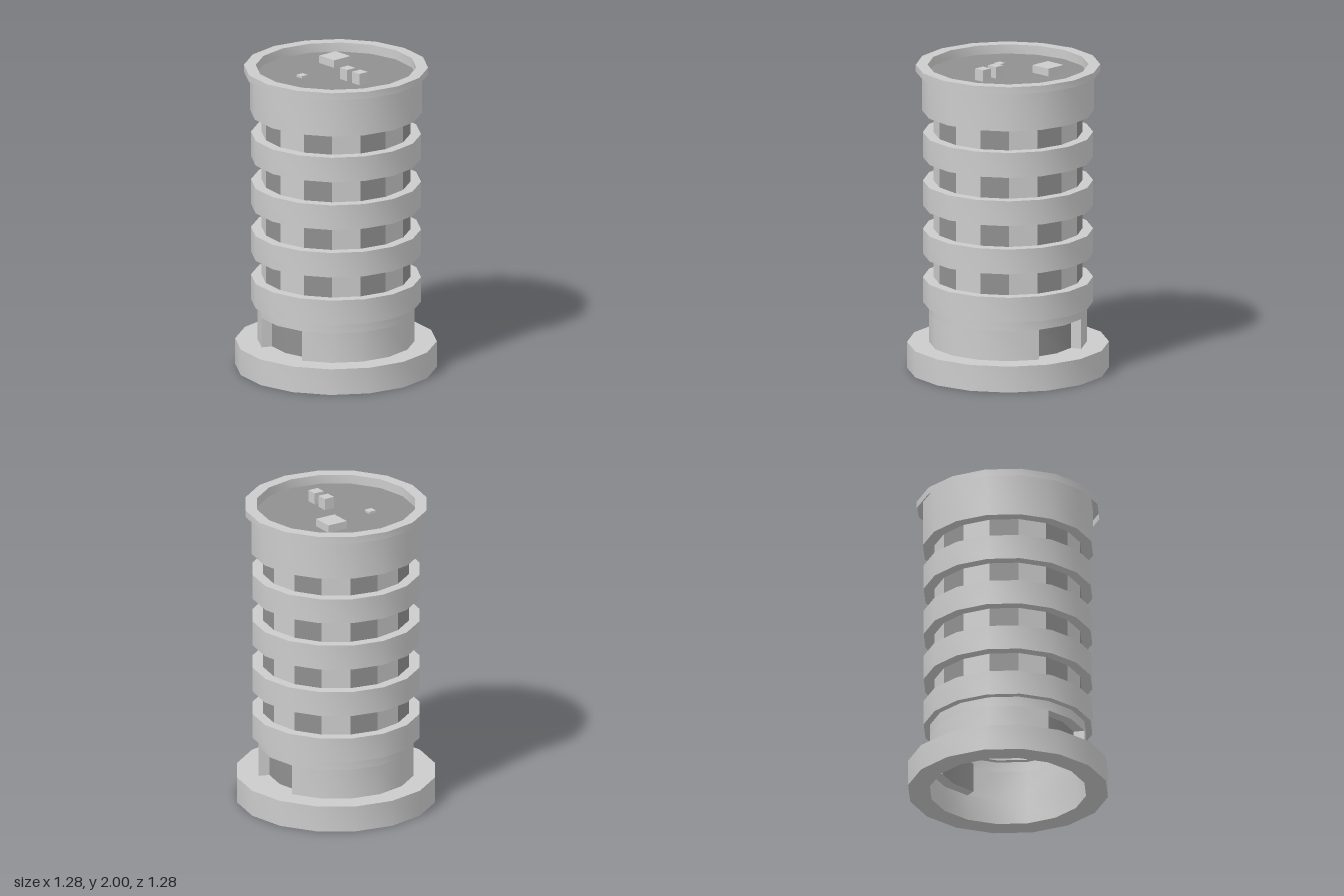
import * as THREE from 'three';
import { toCreasedNormals } from 'three/addons/utils/BufferGeometryUtils.js';

const STEP = Math.PI / 8; // every ring has 16 sides
const grey = new THREE.MeshStandardMaterial({ color: 0xcccccc, side: THREE.DoubleSide });
const dark = new THREE.MeshStandardMaterial({ color: 0x909090, side: THREE.DoubleSide });

export function createModel() {
  const model = new THREE.Group();

  const add = (name, geometry, material = grey) => {
    const mesh = new THREE.Mesh(geometry, material);
    mesh.name = name;
    model.add(mesh);
    return mesh;
  };

  // Turns a [radius, y] profile around the axis, over some of the 16 sides
  const ring = (name, profile, material = grey, first = 0, count = 16) => {
    const points = profile.map(([r, y]) => new THREE.Vector2(r, y));
    const geometry = new THREE.LatheGeometry(points, count, first * STEP, count * STEP);
    return add(name, toCreasedNormals(geometry, 0.5), material);
  };

  // Base, hollow in the middle
  ring('base', [[0.5, 0.17], [0.5, 0], [0.64, 0], [0.64, 0.17], [0.5, 0.17]]);

  // Ground floor wall with a recessed doorway on each side
  ring('groundFloorUpperWall', [[0.5, 0.365], [0.5, 0.43]]);
  for (const first of [3, 11]) {
    ring('groundFloorWall', [[0.5, 0.17], [0.5, 0.365]], grey, first + 2, 6);
    ring('doorwayFloor', [[0.5, 0.17], [0.43, 0.17]], grey, first, 2);
    ring('doorwayCeiling', [[0.43, 0.365], [0.5, 0.365]], grey, first, 2);
    ring('door', [[0.43, 0.17], [0.43, 0.365]], dark, first, 2);
    for (const edge of [first, first + 2]) {
      const a = edge * STEP;
      const jamb = add('doorJamb', new THREE.PlaneGeometry(0.07, 0.195));
      jamb.position.set(0.465 * Math.sin(a), 0.2675, 0.465 * Math.cos(a));
      jamb.rotation.y = a - Math.PI / 2;
    }
  }

  // Four storeys: a projecting band, then a row of alternating wall and window panels
  for (let i = 0; i < 4; i++) {
    const y = 0.432 + i * 0.316;
    const top = y + 0.163;
    const next = y + 0.316;
    ring('balconyBand', [[0.472, y], [0.54, y], [0.54, top], [0.472, top]]);
    for (let k = 0; k < 16; k++) {
      ring(k % 2 ? 'window' : 'wallPanel', [[0.472, top], [0.472, next]], k % 2 ? dark : grey, k, 1);
    }
  }

  // Top drum, roof rim (open beneath) and sunken roof
  ring('topDrum', [[0.472, 1.685], [0.545, 1.685], [0.545, 1.985]]);
  ring('roofRim', [[0.585, 1.94], [0.585, 1.985], [0.51, 1.985], [0.51, 1.925]]);
  const roof = add('roof', new THREE.CircleGeometry(0.51, 16), dark);
  roof.rotation.x = -Math.PI / 2;
  roof.position.y = 1.925;

  // Rooftop units: x, z, width, height
  for (const [x, z, w, h] of [
    [0.165, -0.195, 0.14, 0.05],
    [-0.185, -0.115, 0.05, 0.015],
    [0, 0.11, 0.07, 0.075],
    [0, 0.227, 0.07, 0.075],
  ]) {
    add('roofUnit', new THREE.BoxGeometry(w, h, w)).position.set(x, 1.925 + h / 2, z);
  }

  return model;
}
